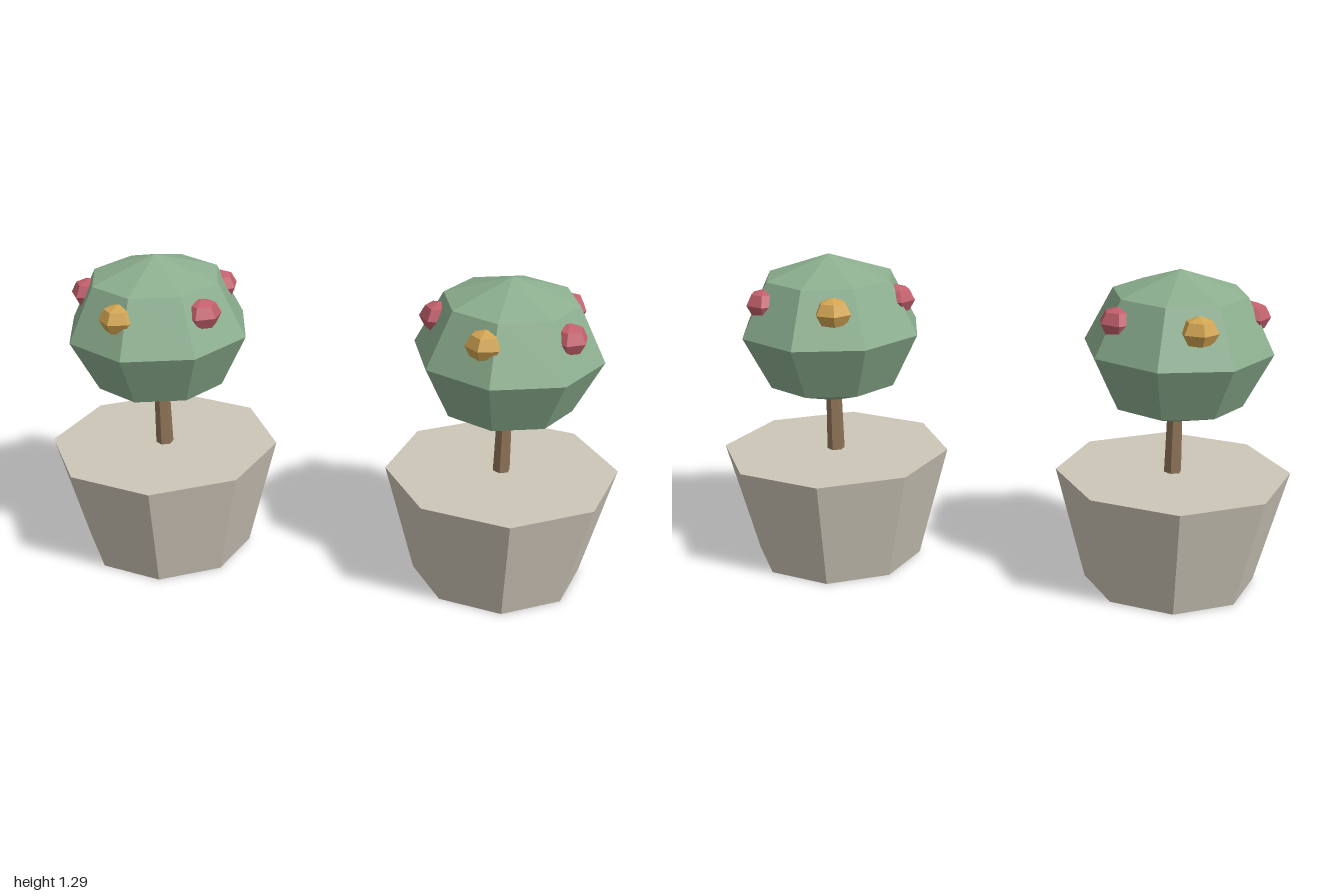
import * as THREE from 'three';

const mat = (name, color) => {
  const m = new THREE.MeshStandardMaterial({ color, flatShading: true });
  m.name = name;
  return m;
};

export function createModel() {
  const stone = mat('warm stone', 0xcdc6b8);
  const bark = mat('brown bark', 0x8f7458);
  const leaf = mat('soft green leaf', 0x8caf8f);
  const pink = mat('rose pink', 0xc2606c);
  const amber = mat('amber', 0xd2a552);

  const potGeo = new THREE.CylinderGeometry(0.466, 0.342, 0.465, 8).rotateY(Math.PI / 12);
  const trunkGeo = new THREE.CylinderGeometry(0.029, 0.036, 0.4, 6).rotateY(Math.PI / 12);
  const crownGeo = new THREE.SphereGeometry(0.373, 8, 4).scale(1, 0.825, 1);
  // bloom with one corner pointing outward along +x
  const bloomGeo = new THREE.SphereGeometry(0.077, 6, 4).scale(1, 0.79, 1);

  const add = (parent, name, geo, material, x, y, z) => {
    const mesh = new THREE.Mesh(geo, material);
    mesh.name = name;
    mesh.position.set(x, y, z);
    parent.add(mesh);
    return mesh;
  };

  const pottedTree = (name, x, z) => {
    const tree = new THREE.Group();
    tree.name = name;
    tree.position.set(x, 0, z);
    add(tree, 'pot', potGeo, stone, 0, 0.2325, 0);
    add(tree, 'trunk', trunkGeo, bark, 0, 0.64, 0);
    add(tree, 'crown', crownGeo, leaf, 0, 0.981, 0);

    // five blooms evenly spaced round the upper crown
    const colours = [pink, amber, pink, amber, pink];
    colours.forEach((colour, i) => {
      const a = -(i * Math.PI * 2) / 5;
      const r = 0.272;
      const bloom = add(tree, 'bloom', bloomGeo, colour, Math.cos(a) * r, 1.113, Math.sin(a) * r);
      bloom.rotation.y = -a;
    });
    return tree;
  };

  const group = new THREE.Group();
  group.name = 'pottedTrees';
  group.add(pottedTree('frontTree', 0.55, 0.433), pottedTree('backTree', -0.55, -0.433));
  return group;
}
